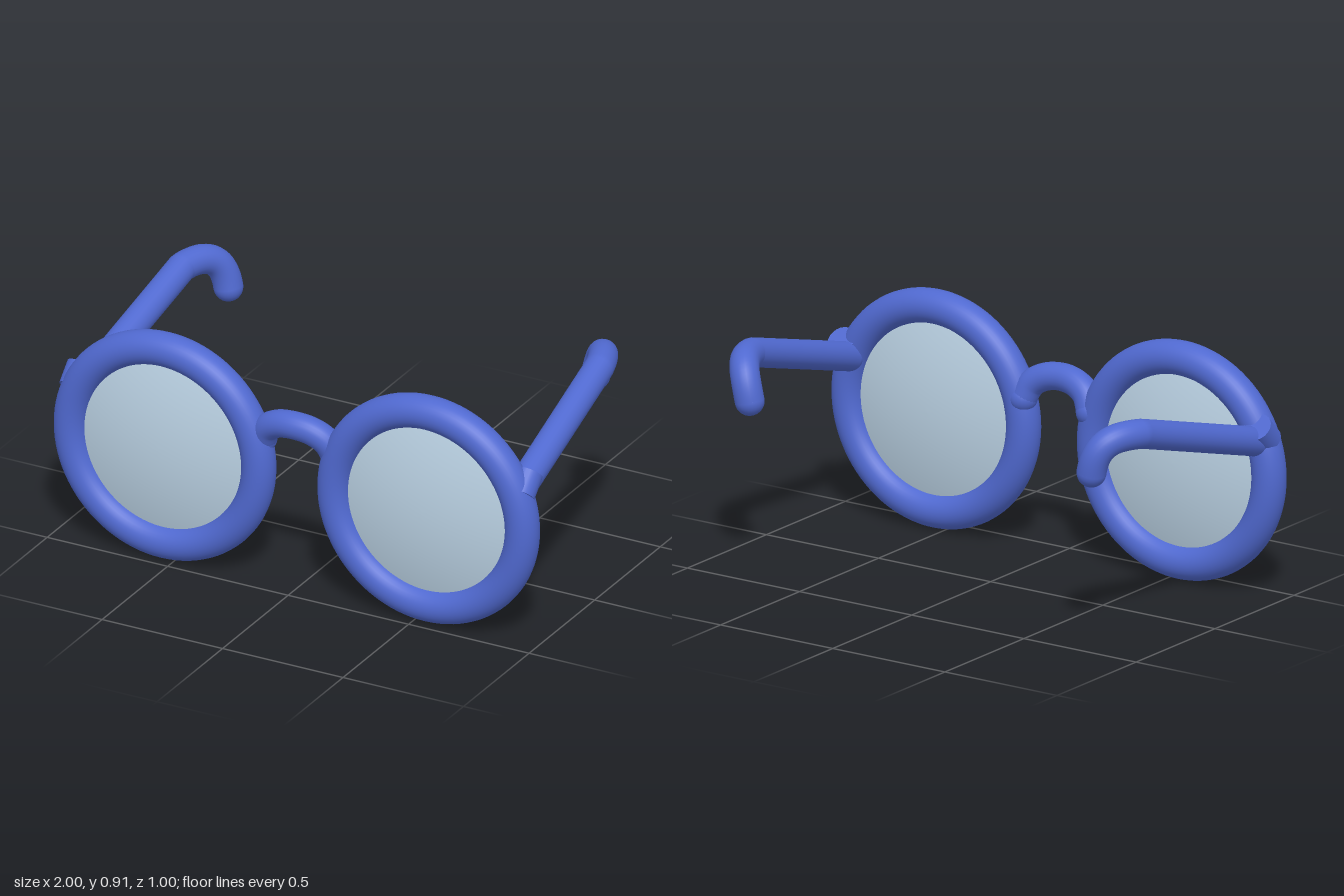
import * as THREE from 'three';

const frameMat = new THREE.MeshStandardMaterial({ color: 0x5069d0 });
frameMat.name = 'blue frame';
const lensMat = new THREE.MeshStandardMaterial({ color: 0xb9d0e2 });
lensMat.name = 'grey lens';

const LENS_X = 0.547, LENS_Y = 0.4565, FRAME_Z = 0.433;

function add(parent, name, geometry, material, x = 0, y = 0, z = 0) {
  const mesh = new THREE.Mesh(geometry, material);
  mesh.name = name;
  mesh.position.set(x, y, z);
  parent.add(mesh);
  return mesh;
}

// Shallow lens bulging on both sides, facing z
function lensGeometry(radius, bulge) {
  const profile = [];
  const n = 16;
  for (let i = -n; i <= n; i++) {
    const r = radius * (1 - Math.abs(i) / n);
    const h = Math.sign(i) * bulge * (1 - (r / radius) ** 2);
    profile.push(new THREE.Vector2(r, h));
  }
  return new THREE.LatheGeometry(profile, 64).rotateX(Math.PI / 2);
}

// Straight arm that curls down and inwards behind the ear
function templeGeometry(s) {
  const v = (x, y, z) => new THREE.Vector3(s * x, y, z);
  const path = new THREE.CurvePath();
  const elbow = v(0.866, 0.795, -0.28);
  path.add(new THREE.LineCurve3(v(0.904, 0.603, 0.385), elbow));
  path.add(new THREE.CubicBezierCurve3(elbow, v(0.843, 0.806, -0.38), v(0.788, 0.803, -0.45), v(0.762, 0.67, -0.444)));
  return new THREE.TubeGeometry(path, 80, 0.055, 24);
}

export function createModel() {
  const model = new THREE.Group();
  model.name = 'glasses';

  for (const s of [1, -1]) {
    const side = new THREE.Group();
    side.name = s > 0 ? 'leftSide' : 'rightSide';
    model.add(side);

    // Round rim and lens
    add(side, 'rim', new THREE.TorusGeometry(0.389, 0.0645, 32, 96), frameMat, s * LENS_X, LENS_Y, FRAME_Z);
    add(side, 'lens', lensGeometry(0.38, 0.06), lensMat, s * LENS_X, LENS_Y, FRAME_Z);

    // Temple arm with closed ends
    add(side, 'temple', templeGeometry(s), frameMat);
    add(side, 'templeTip', new THREE.SphereGeometry(0.055, 24, 16), frameMat, s * 0.762, 0.67, -0.444);
    add(side, 'templeRoot', new THREE.SphereGeometry(0.055, 24, 16), frameMat, s * 0.904, 0.603, 0.385);

    // Stubby hinge, tilted up and back
    const hinge = add(side, 'hinge', new THREE.CylinderGeometry(0.055, 0.055, 0.09, 24), frameMat, s * 0.927, 0.633, 0.402);
    hinge.rotation.x = -Math.PI / 4;

    // Bridge end set into the rim
    add(side, 'bridgeEnd', new THREE.SphereGeometry(0.054, 24, 16), frameMat, s * 0.15, 0.572, 0.418);
  }

  // Arched nose bridge
  const bridge = new THREE.CatmullRomCurve3([
    [-0.15, 0.572, 0.418], [-0.122, 0.628, 0.432], [-0.07, 0.66, 0.443], [0, 0.671, 0.449],
    [0.07, 0.66, 0.443], [0.122, 0.628, 0.432], [0.15, 0.572, 0.418],
  ].map((p) => new THREE.Vector3(...p)));
  add(model, 'bridge', new THREE.TubeGeometry(bridge, 48, 0.052, 24), frameMat);

  return model;
}
